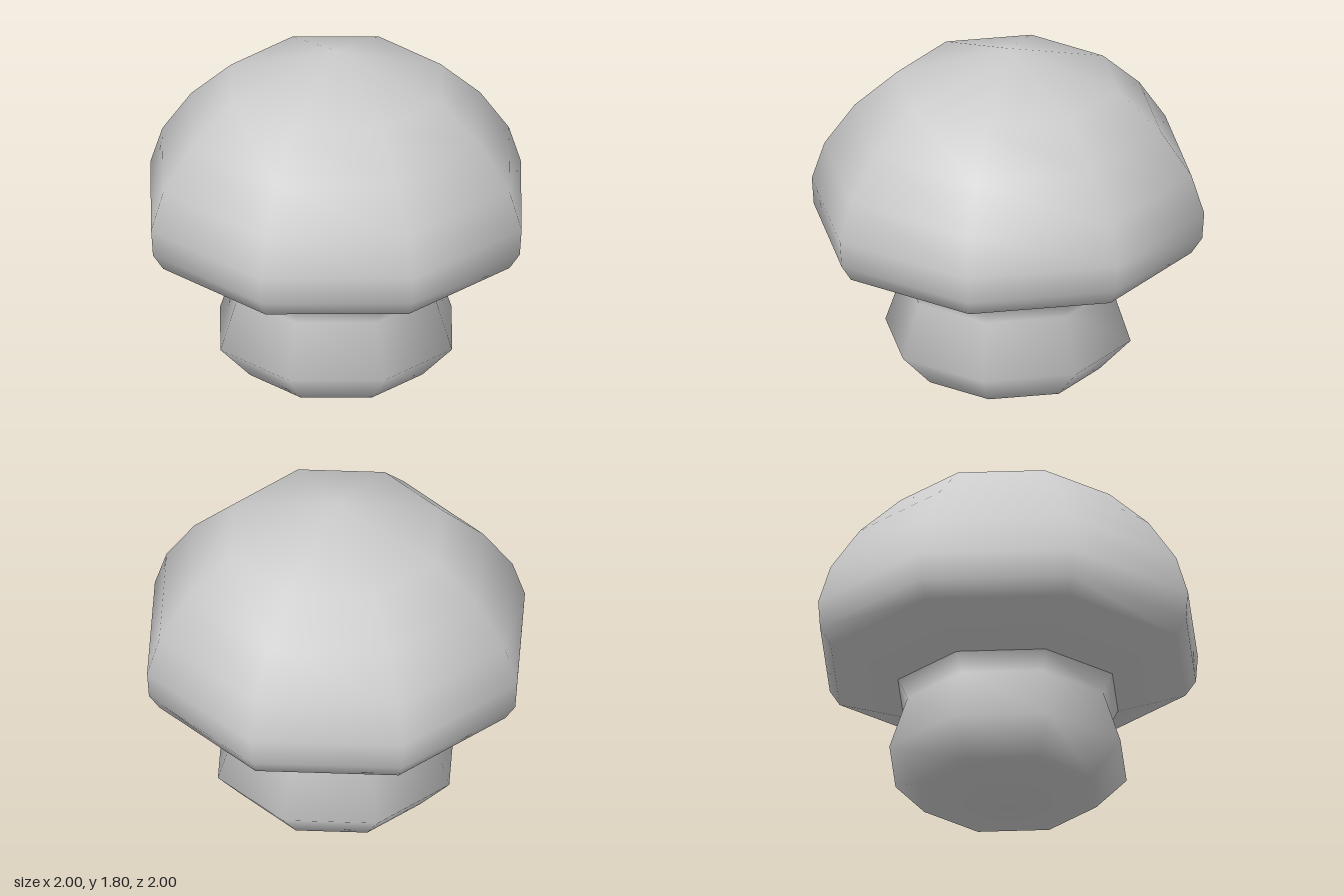
import * as THREE from 'three';
import { mergeVertices } from 'three/addons/utils/BufferGeometryUtils.js';

const SIDES = 8;

// Eight-sided turned part with fully smoothed normals, profile from bottom to top
function turned(name, profile, material) {
  const lathe = new THREE.LatheGeometry(profile.map(([r, y]) => new THREE.Vector2(r, y)), SIDES);
  lathe.deleteAttribute('uv');
  lathe.deleteAttribute('normal');
  const geometry = mergeVertices(lathe, 1e-4);
  geometry.computeVertexNormals();
  const mesh = new THREE.Mesh(geometry, material);
  mesh.name = name;
  return mesh;
}

export function createModel() {
  const material = new THREE.MeshStandardMaterial({ color: 0xcccccc, side: THREE.DoubleSide });
  const group = new THREE.Group();
  group.name = 'mushroom';

  // Squat stem, pointed below, with a narrow neck
  group.add(turned('stem', [
    [0, 0], [0.465, 0.08], [0.625, 0.25], [0.53, 0.53], [0.58, 0.625],
  ], material));

  // Domed cap with a sloping underside that meets the stem
  group.add(turned('cap', [
    [0.58, 0.625], [0.935, 0.765], [0.99, 0.85], [1, 0.99],
    [0.935, 1.19], [0.78, 1.415], [0.565, 1.615], [0, 1.8],
  ], material));

  return group;
}
